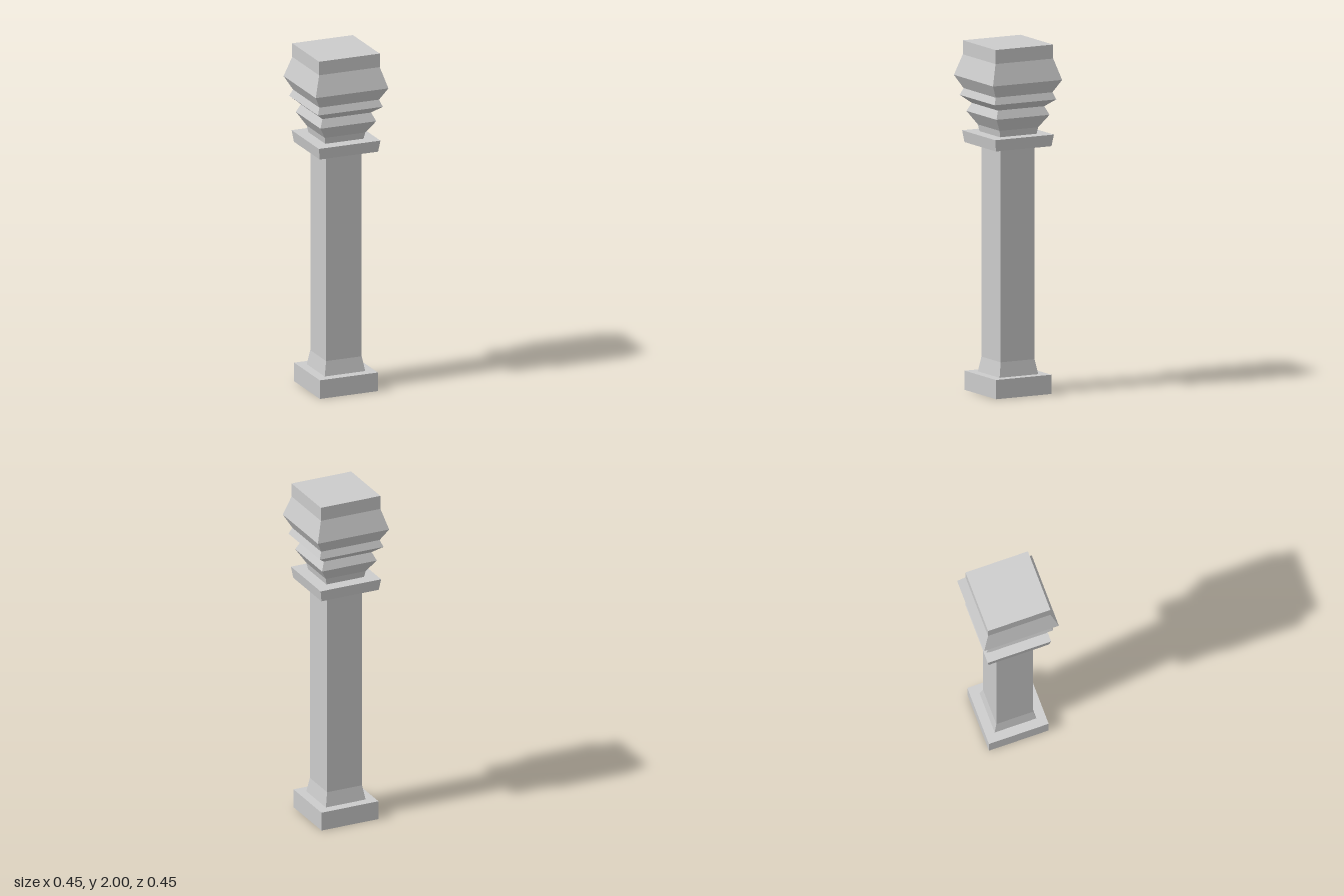
import * as THREE from 'three';

const material = new THREE.MeshStandardMaterial({ color: 0xcccccc, flatShading: true });

// Closed square solid from [half width, height] pairs, listed bottom to top.
function squareTurned(name, profile) {
  const first = profile[0];
  const last = profile[profile.length - 1];
  const points = [[0, first[1]], ...profile, [0, last[1]]]
    .map(([half, y]) => new THREE.Vector2(half * Math.SQRT2, y));
  const mesh = new THREE.Mesh(new THREE.LatheGeometry(points, 4, Math.PI / 4), material);
  mesh.name = name;
  return mesh;
}

export function createModel() {
  const column = new THREE.Group();
  column.name = 'column';
  column.add(
    // Square block on the ground
    squareTurned('base', [[0.179, 0], [0.179, 0.11]]),
    // Shaft with a flared foot
    squareTurned('shaft', [[0.125, 0.11], [0.11, 0.195], [0.11, 1.42]]),
    // Plate that widens upward
    squareTurned('collarPlate', [[0.18, 1.418], [0.19, 1.485]]),
    // Neck, two sharp ridges and the swelling top block
    squareTurned('capital', [
      [0.118, 1.485], [0.125, 1.523],
      [0.172, 1.597], [0.15, 1.645],
      [0.2, 1.687], [0.184, 1.727],
      [0.224, 1.8], [0.187, 1.92], [0.187, 2],
    ]),
  );
  return column;
}
